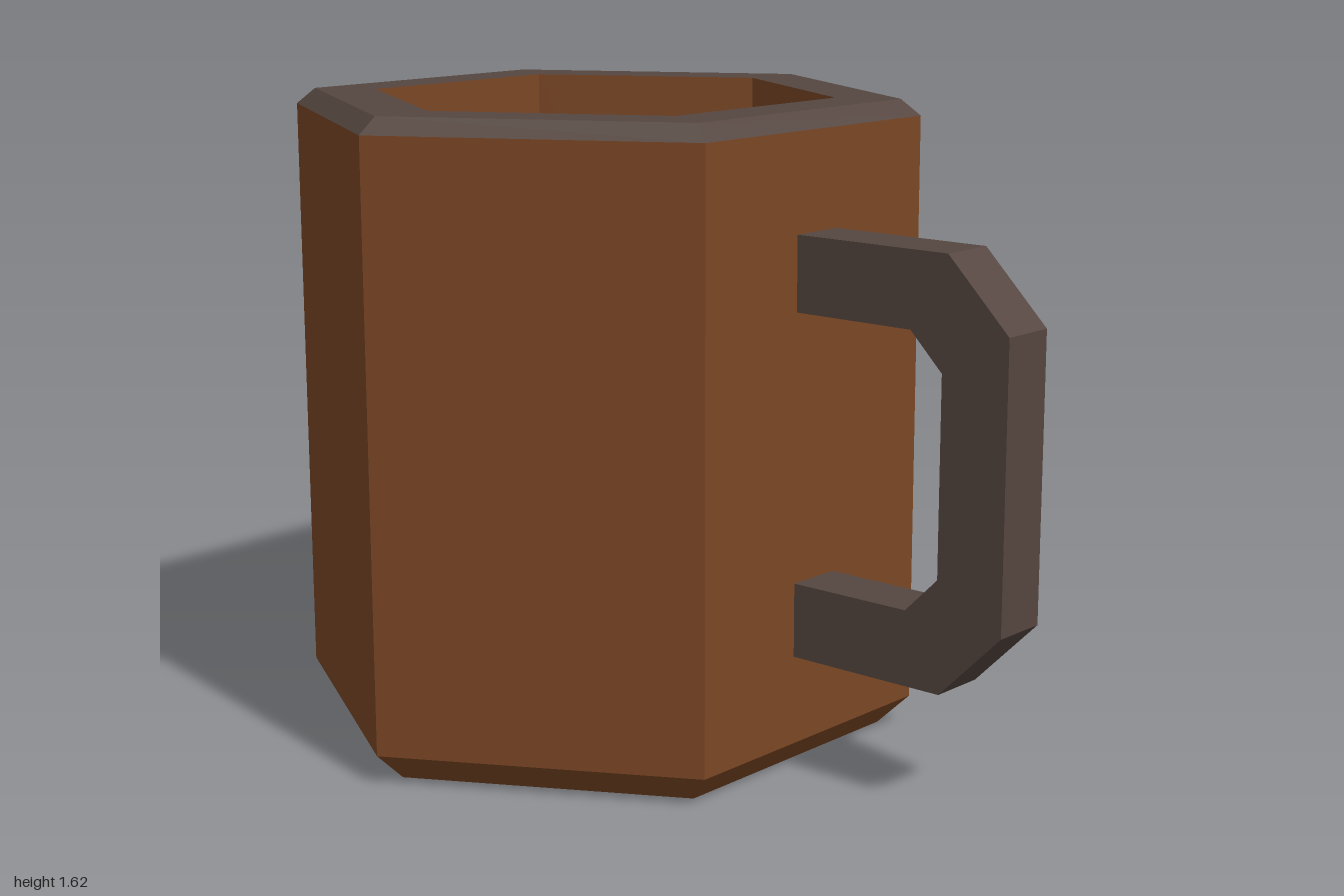
import * as THREE from 'three';

const SIDES = 6;
const CENTRE_Z = -0.3;
const HANDLE_WIDTH = 0.148;

const wood = new THREE.MeshStandardMaterial({ color: 0x7b4725 });
wood.name = 'brown wood';
const iron = new THREE.MeshStandardMaterial({ color: 0x554640 });
iron.name = 'dark grey iron';

// Six-sided ring surface with flat faces, corners pointing along x
function hexLathe(name, profile, material) {
  const points = profile.map(([r, y]) => new THREE.Vector2(r, y));
  const geometry = new THREE.LatheGeometry(points, SIDES, Math.PI / 2).toNonIndexed();
  geometry.computeVertexNormals();
  const mesh = new THREE.Mesh(geometry, material);
  mesh.name = name;
  mesh.position.z = CENTRE_Z;
  return mesh;
}

export function createModel() {
  const group = new THREE.Group();
  group.name = 'mug';

  // Outer wall with chamfered base
  group.add(hexLathe('body', [[0, 0], [0.725, 0], [0.807, 0.077], [0.807, 1.577]], wood));

  // Chamfered rim band
  group.add(hexLathe('rim', [[0.807, 1.577], [0.757, 1.617], [0.594, 1.617]], iron));

  // Hollow inside and its floor
  group.add(hexLathe('interior', [[0.594, 1.617], [0.594, 0.2], [0, 0.2]], wood));

  // Angular handle, outlined in (z, y) and extruded across x
  const outline = [
    [0.38, 1.335], [0.83, 1.335], [1, 1.165], [1, 0.47], [0.83, 0.3], [0.38, 0.3],
    [0.38, 0.485], [0.73, 0.485], [0.82, 0.575], [0.82, 1.06], [0.73, 1.15], [0.38, 1.15],
  ].map(([z, y]) => new THREE.Vector2(z, y));
  const handleGeometry = new THREE.ExtrudeGeometry(new THREE.Shape(outline), {
    depth: HANDLE_WIDTH,
    bevelEnabled: false,
  });
  handleGeometry.rotateY(-Math.PI / 2).translate(HANDLE_WIDTH / 2, 0, 0);
  const handle = new THREE.Mesh(handleGeometry, iron);
  handle.name = 'handle';
  group.add(handle);

  return group;
}
